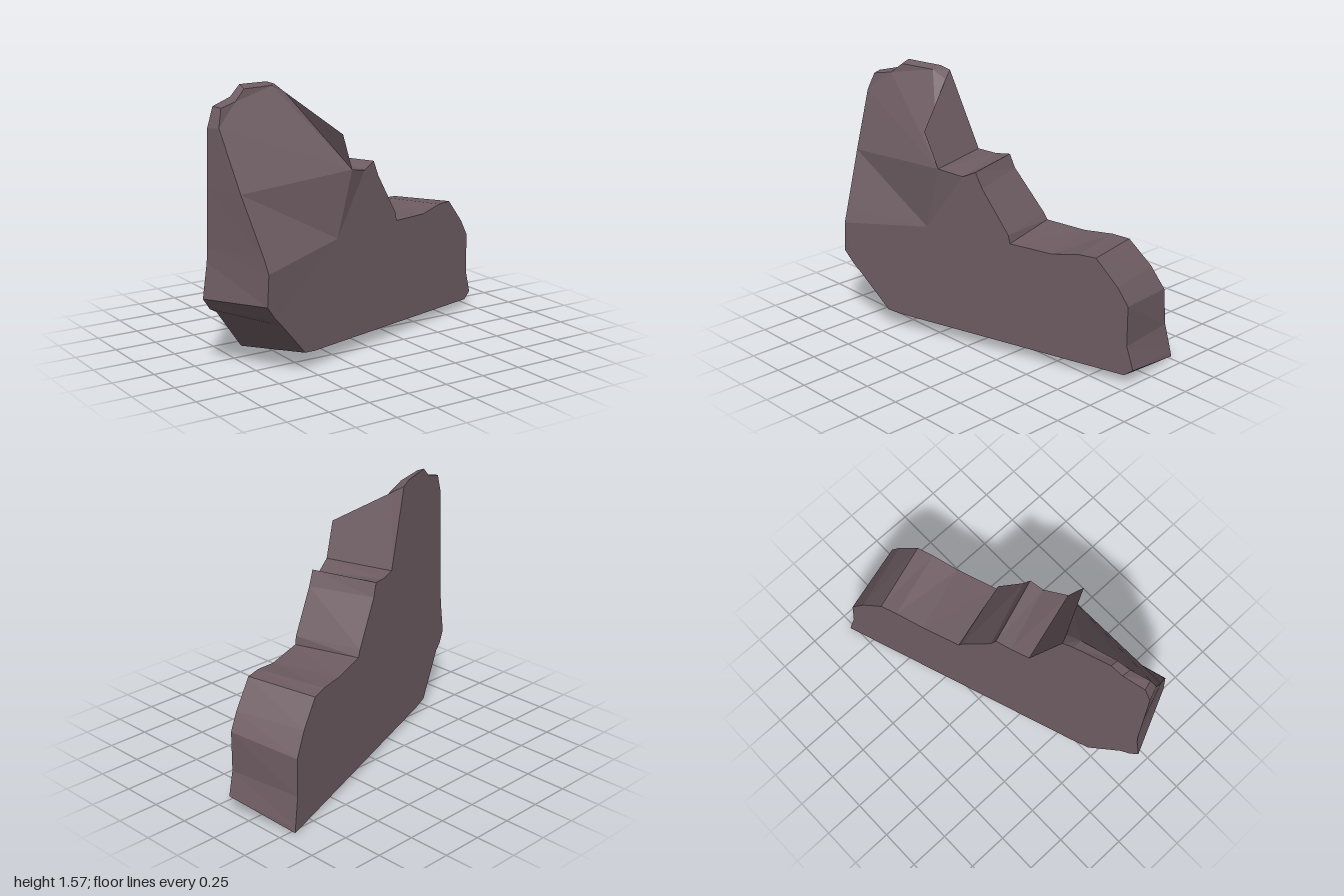
import * as THREE from 'three';

// Vertical planes that hold the two broad faces of the slab
const frontZ = (x) => 0.51 - 0.33 * (x + 0.82);
const backZ = (x, y) => 0.105 - 0.33 * (x + 1) + 0.03 * y;

// Outline pairs, clockwise from the tower's top corner: front x, y, back x, y, optional front z
const outline = [
  [-0.42, 1.50, -0.45, 1.54, 0.03],
  // upper step
  [-0.16, 1.08, -0.28, 1.08, 0.32],
  [-0.03, 1.05, -0.17, 1.07],
  [0.05, 1.09, -0.08, 1.08],
  [0.09, 1.00, -0.05, 1.00],
  // lower step
  [0.25, 0.75, 0.13, 0.75],
  [0.26, 0.70, 0.15, 0.71],
  [0.51, 0.69, 0.38, 0.69],
  [0.67, 0.72, 0.55, 0.70],
  [0.77, 0.72, 0.65, 0.69],
  // far end and base
  [0.90, 0.57, 0.78, 0.55],
  [0.96, 0.47, 0.86, 0.42],
  [0.96, 0.23, 0.87, 0.20],
  [1.00, 0.09, 0.905, 0.03],
  [0.95, 0.05, 0.91, 0.00],
  [-0.45, 0.10, -0.60, 0.055],
  [-0.53, 0.11, -0.71, 0.07],
  // undercut and tower side
  [-0.71, 0.31, -0.90, 0.32],
  [-0.76, 0.36, -0.95, 0.35],
  [-0.82, 0.44, -1.00, 0.42],
  [-0.81, 0.62, -0.97, 0.62, 0.51],
  [-0.82, 0.70, -0.965, 0.70, 0.48],
  [-0.88, 1.03, -0.963, 1.03, 0.345],
  [-0.93, 1.37, -0.96, 1.36, 0.21],
  // tower top
  [-0.90, 1.47, -0.92, 1.475, 0.18],
  [-0.79, 1.49, -0.79, 1.51, 0.14],
  [-0.72, 1.55, -0.72, 1.57, 0.11],
  [-0.51, 1.545, -0.51, 1.56, 0.05],
];

function meshFrom(name, triangles, material) {
  const geometry = new THREE.BufferGeometry().setFromPoints(triangles);
  geometry.computeVertexNormals();
  const mesh = new THREE.Mesh(geometry, material);
  mesh.name = name;
  return mesh;
}

// Triangulates a polygon in x/y so that it faces +z (sign 1) or -z (sign -1)
function fillPolygon(points, sign) {
  const flat = points.map((p) => new THREE.Vector2(p.x, p.y));
  return THREE.ShapeUtils.triangulateShape(flat, []).flatMap(([a, b, c]) => {
    const turn = THREE.ShapeUtils.area([flat[a], flat[b], flat[c]]) * sign;
    return (turn > 0 ? [a, b, c] : [a, c, b]).map((i) => points[i]);
  });
}

export function createModel() {
  const group = new THREE.Group();
  group.name = 'steppedRock';
  const stone = new THREE.MeshStandardMaterial({ color: 0x6e5d63, flatShading: true });
  const thinStone = stone.clone();
  thinStone.side = THREE.DoubleSide;

  const front = outline.map(([x, y, , , z]) => new THREE.Vector3(x, y, z ?? frontZ(x)));
  const back = outline.map(([, , x, y]) => new THREE.Vector3(x, y, backZ(x, y)));
  const crease = new THREE.Vector3(-0.26, 0.70, frontZ(-0.26));

  // Front: leaning tower face, sloped band and upright lower face
  const tower = [front[0], front[1], ...front.slice(22)];
  const band = [front[1], crease, front[21], front[22]];
  const lower = [...front.slice(1, 22), crease];
  group.add(meshFrom('towerFace', fillPolygon(tower, 1), stone));
  group.add(meshFrom('slopedBand', fillPolygon(band, 1), stone));
  group.add(meshFrom('lowerFace', fillPolygon(lower, 1), stone));

  // Back face
  group.add(meshFrom('backFace', fillPolygon(back, -1), stone));

  // Steps, ends, top and base joining the two outlines
  const rim = front.flatMap((f, i) => {
    const j = (i + 1) % front.length;
    return [f, front[j], back[j], f, back[j], back[i]];
  });
  group.add(meshFrom('rim', rim, stone));

  // Thin flake standing out from the tower's edge
  const tip = new THREE.Vector3(-0.24, 1.29, 0.35);
  group.add(meshFrom('flake', [front[0], front[1], tip], thinStone));
  return group;
}
